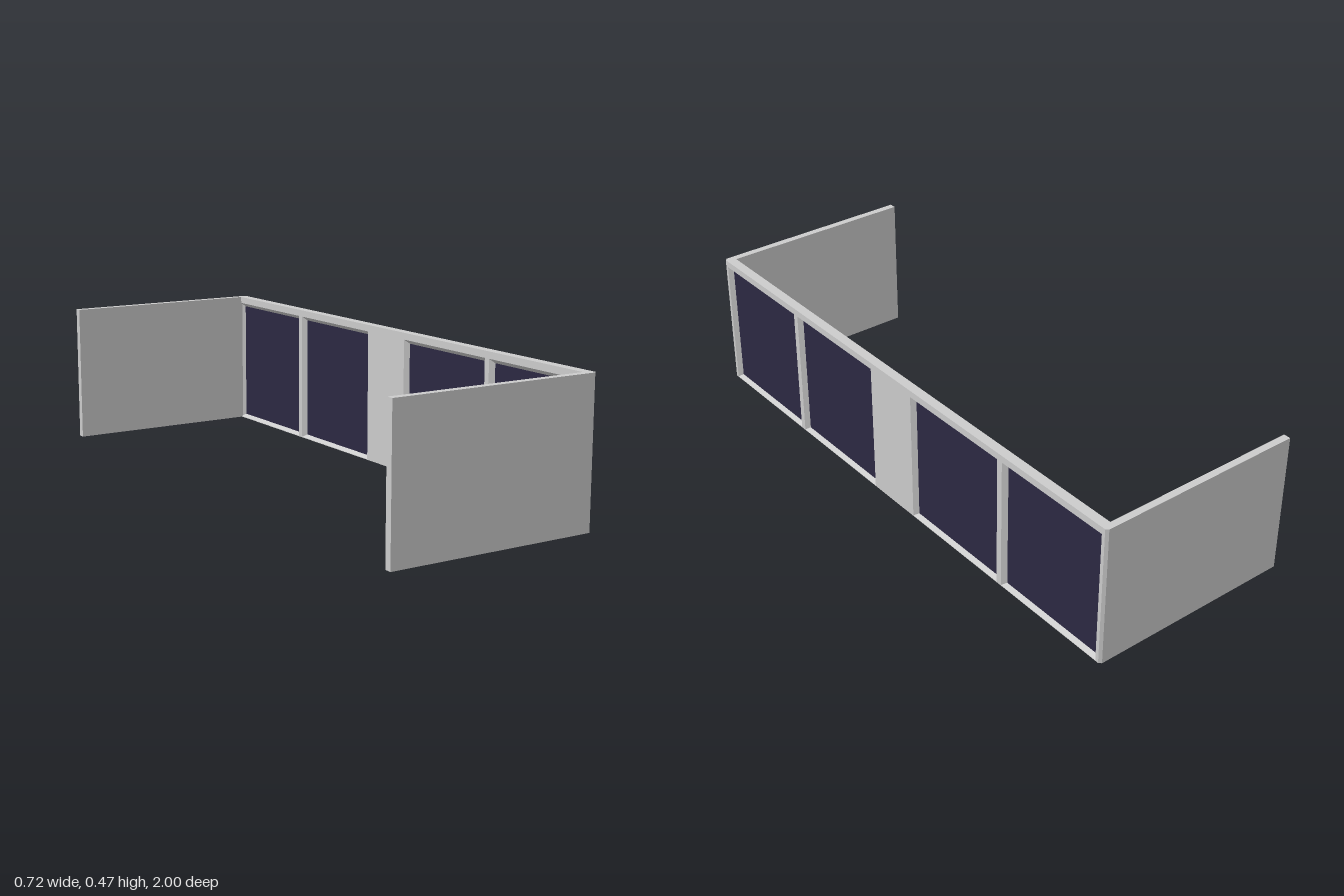
import * as THREE from 'three';

const HEIGHT = 0.475;
const X_IN = 0.325, X_OUT = 0.358, X_MID = (X_IN + X_OUT) / 2;
const BEVEL = 0.015, CORNER = 0.008;
const SILL = 0.013, HEAD = 0.437;

export function createModel() {
  const group = new THREE.Group();
  const grey = new THREE.MeshStandardMaterial({ color: 0xcccccc, flatShading: true });
  const dark = new THREE.MeshStandardMaterial({ color: 0x2c2842, flatShading: true });

  function add(name, geometry, material, x = 0, y = 0, z = 0) {
    const mesh = new THREE.Mesh(geometry, material);
    mesh.name = name;
    mesh.position.set(x, y, z);
    group.add(mesh);
  }

  function prism(points, depth) {
    const shape = new THREE.Shape(points.map(([x, y]) => new THREE.Vector2(x, y)));
    return new THREE.ExtrudeGeometry(shape, { depth, bevelEnabled: false });
  }

  // Upright: plan outline in (x, -z), extruded up
  function post(name, points) {
    add(name, prism(points.map(([x, z]) => [x, -z]), HEIGHT).rotateX(-Math.PI / 2), grey);
  }

  // Post pointed on both sides, where the sloping reveals meet the panels
  function pointedPost(name, z0, z1) {
    post(name, [
      [X_IN, z0 + BEVEL], [X_MID, z0], [X_OUT, z0 + BEVEL],
      [X_OUT, z1 - BEVEL], [X_MID, z1], [X_IN, z1 - BEVEL],
    ]);
  }

  pointedPost('centrePost', -0.12, 0.12);

  for (const s of [1, -1]) {
    const side = s > 0 ? 'Front' : 'Back';

    // Return wall at each end
    add('endWall' + side, new THREE.BoxGeometry(0.709, HEIGHT, 0.024), grey,
      -0.0045, HEIGHT / 2, s * 0.988);

    // Chamfered corner post and the mullion between two panels
    post('cornerPost' + side, [
      [X_IN, s * 0.98], [X_MID, s * 0.965], [X_OUT, s * 0.98],
      [X_OUT, s * (1 - CORNER)], [X_OUT - CORNER, s], [X_IN, s],
    ]);
    pointedPost('mullion' + side, Math.min(s * 0.516, s * 0.567), Math.max(s * 0.516, s * 0.567));

    // Dark panels set in the middle of the wall thickness
    for (const [z0, z1] of [[0.11, 0.525], [0.558, 0.975]]) {
      add('panel' + side, new THREE.BoxGeometry(0.004, HEAD - SILL + 0.01, z1 - z0), dark,
        X_MID, (HEAD + SILL) / 2, s * (z0 + z1) / 2);
    }
  }

  // Top and bottom rails with sloping reveals
  const length = 1.97;
  add('topRail', prism([
    [X_IN, HEIGHT], [X_IN, HEAD + BEVEL], [X_MID, HEAD], [X_OUT, HEAD + BEVEL], [X_OUT, HEIGHT],
  ], length), grey, 0, 0, -length / 2);
  add('bottomRail', prism([
    [X_IN, 0], [X_OUT, 0], [X_OUT, 0.002], [X_MID, SILL], [X_IN, 0.002],
  ], length), grey, 0, 0, -length / 2);

  return group;
}
